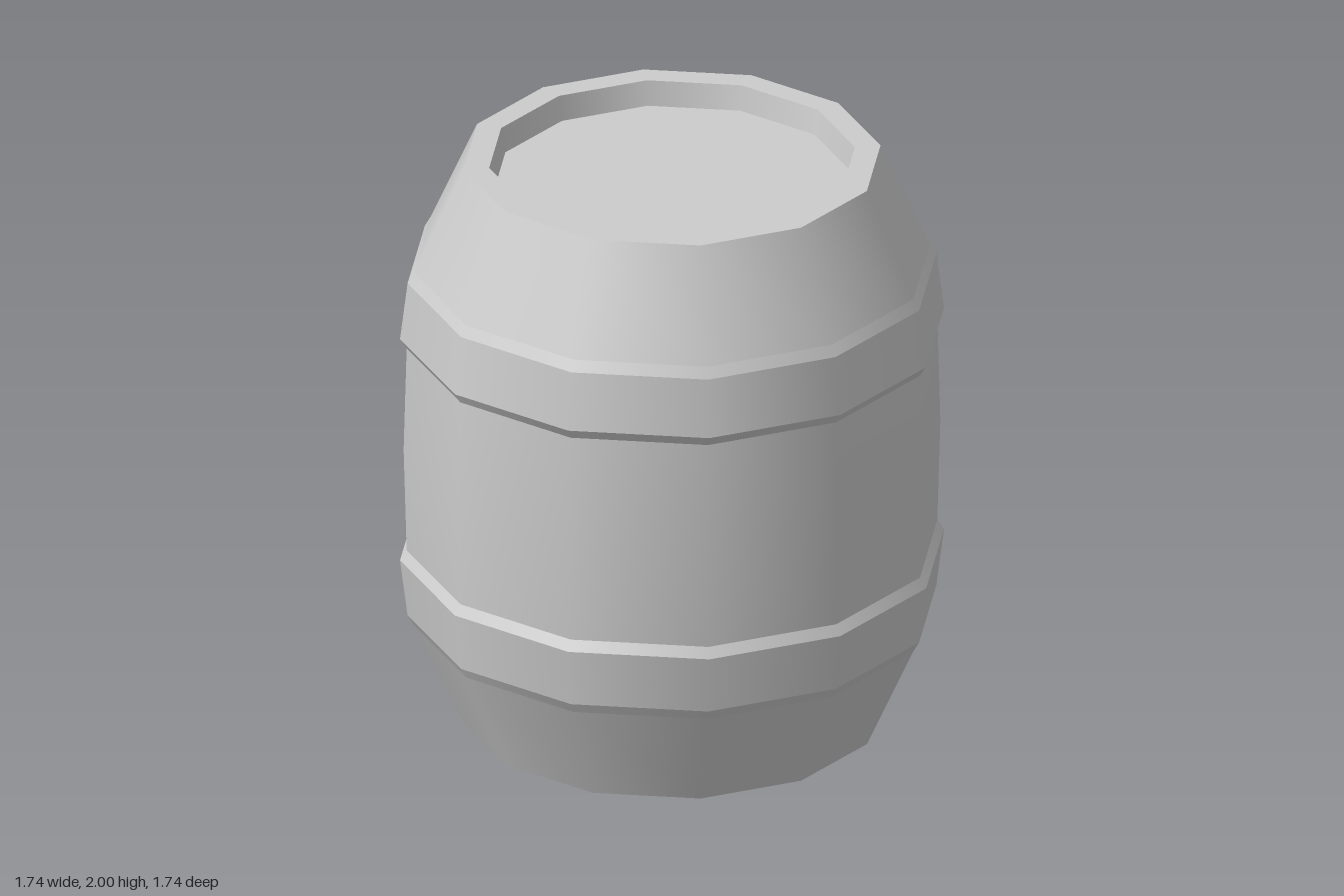
import * as THREE from 'three';
import { mergeGeometries } from 'three/addons/utils/BufferGeometryUtils.js';

const SIDES = 12;
const START = THREE.MathUtils.degToRad(14.7);

// Revolves each run of [radius, y] points; runs meet in sharp edges, sides stay smooth.
function rings(runs) {
  return mergeGeometries(runs.map(run => new THREE.LatheGeometry(
    run.map(([r, y]) => new THREE.Vector2(r, y)), SIDES, START)));
}

// Splits a profile into one run per pair of points
const sharp = pts => pts.slice(1).map((p, i) => [pts[i], p]);

// Mirrors a profile top to bottom, keeping it anticlockwise
const mirror = pts => pts.map(([r, y]) => [r, 2 - y]).reverse();

export function createModel() {
  const model = new THREE.Group();
  const material = new THREE.MeshStandardMaterial({ color: 0xcccccc });
  const add = (name, runs) => {
    const mesh = new THREE.Mesh(rings(runs), material);
    mesh.name = name;
    model.add(mesh);
  };

  // Bulging middle staves
  add('middleStaves', [[[0.878, 0.635], [0.888, 1], [0.878, 1.365]]]);

  // Upper half profiles, mirrored for the lower half
  const parts = {
    Hoop: [[0.878, 1.365], [0.9, 1.4], [0.875, 1.6], [0.854, 1.637]],
    Staves: [[0.854, 1.637], [0.69, 2]],
    Rim: [[0.69, 2], [0.605, 2], [0.59, 1.915]],
    Head: [[0.59, 1.915], [0, 1.915]],
  };
  for (const [name, profile] of Object.entries(parts)) {
    add('upper' + name, sharp(profile));
    add('lower' + name, sharp(mirror(profile)));
  }
  return model;
}
